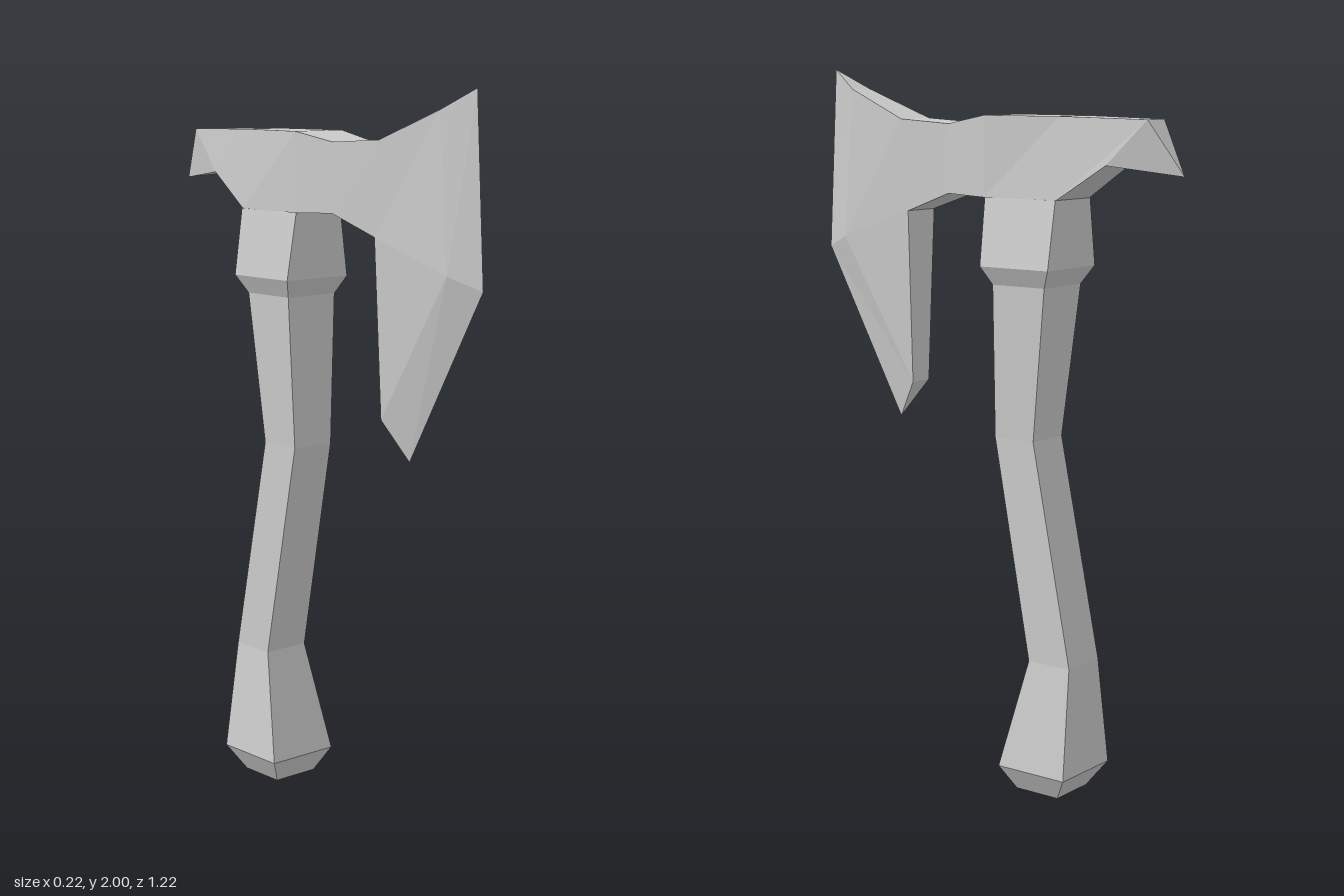
import * as THREE from 'three';

const material = new THREE.MeshStandardMaterial({ color: 0xcccccc, flatShading: true });

// Builds a flat-shaded mesh from polygons of [x, y, z] corners, skipping collapsed triangles
function facetMesh(name, polygons) {
  const positions = [];
  const same = (p, q) => p.every((v, i) => Math.abs(v - q[i]) < 1e-6);
  for (const poly of polygons) {
    for (let i = 1; i < poly.length - 1; i++) {
      const [a, b, c] = [poly[0], poly[i], poly[i + 1]];
      if (!same(a, b) && !same(b, c) && !same(c, a)) positions.push(...a, ...b, ...c);
    }
  }
  const geometry = new THREE.BufferGeometry();
  geometry.setAttribute('position', new THREE.Float32BufferAttribute(positions, 3));
  geometry.computeVertexNormals();
  const mesh = new THREE.Mesh(geometry, material);
  mesh.name = name;
  return mesh;
}

// Square-sectioned loft; each section is [y, zFront, zBack, halfWidth]
function loft(name, sections) {
  const rings = sections.map(([y, f, b, w]) => [[-w, y, f], [w, y, f], [w, y, b], [-w, y, b]]);
  const polygons = [[...rings[0]].reverse(), rings[rings.length - 1]];
  for (let s = 0; s < rings.length - 1; s++) {
    for (let i = 0; i < 4; i++) {
      const j = (i + 1) % 4;
      polygons.push([rings[s][i], rings[s][j], rings[s + 1][j], rings[s + 1][i]]);
    }
  }
  return facetMesh(name, polygons);
}

// Mirrored axe head: side facets on both sides, joined by a strip around the rim
function createHead() {
  // [z, y, halfWidth], rim first
  const points = [
    [-0.52, 1.875, 0.04], [-0.26, 1.88, 0.064], [-0.025, 1.88, 0.085], // top, from the back
    [0.11, 1.855, 0.07], [0.285, 1.865, 0.062], [0.485, 1.945, 0.038],
    [0.58, 2.0, 0], [0.61, 1.49, 0], [0.345, 1.01, 0], // cutting edge
    [0.27, 1.12, 0.036], [0.265, 1.61, 0.058], [0.11, 1.665, 0.07], // underside
    [-0.025, 1.66, 0.085], [-0.26, 1.66, 0.078], [-0.405, 1.755, 0.06],
    [-0.61, 1.73, 0], // back spike
    [0.518, 1.525, 0.04], // bevel corner
  ];
  const rimCount = 16;
  const facets = [
    [0, 1, 13, 14], [1, 2, 12, 13], [2, 3, 11, 12], [3, 4, 10, 11], [4, 5, 16, 10],
    [16, 9, 10], [5, 6, 7, 16], [7, 8, 9, 16], [0, 14, 15],
  ];
  const at = (i, side) => [points[i][2] * side, points[i][1], points[i][0]];
  const polygons = [];
  for (const facet of facets) {
    polygons.push(facet.map((i) => at(i, 1)));
    polygons.push([...facet].reverse().map((i) => at(i, -1)));
  }
  for (let a = 0; a < rimCount; a++) {
    const b = (a + 1) % rimCount;
    polygons.push([at(b, 1), at(a, 1), at(a, -1), at(b, -1)]);
  }
  return facetMesh('axeHead', polygons);
}

export function createModel() {
  const group = new THREE.Group();
  group.name = 'axe';

  // Curved handle with a flared pommel
  group.add(loft('handle', [
    [0, -0.13, -0.27, 0.07],
    [0.07, -0.095, -0.317, 0.11],
    [0.38, -0.17, -0.307, 0.07],
    [1.0, -0.05, -0.18, 0.067],
    [1.425, -0.055, -0.228, 0.085],
  ]));

  // Collar under the head
  group.add(loft('collar', [
    [1.425, -0.055, -0.228, 0.085],
    [1.475, -0.03, -0.257, 0.11],
    [1.66, -0.025, -0.26, 0.081],
  ]));

  group.add(createHead());
  return group;
}
